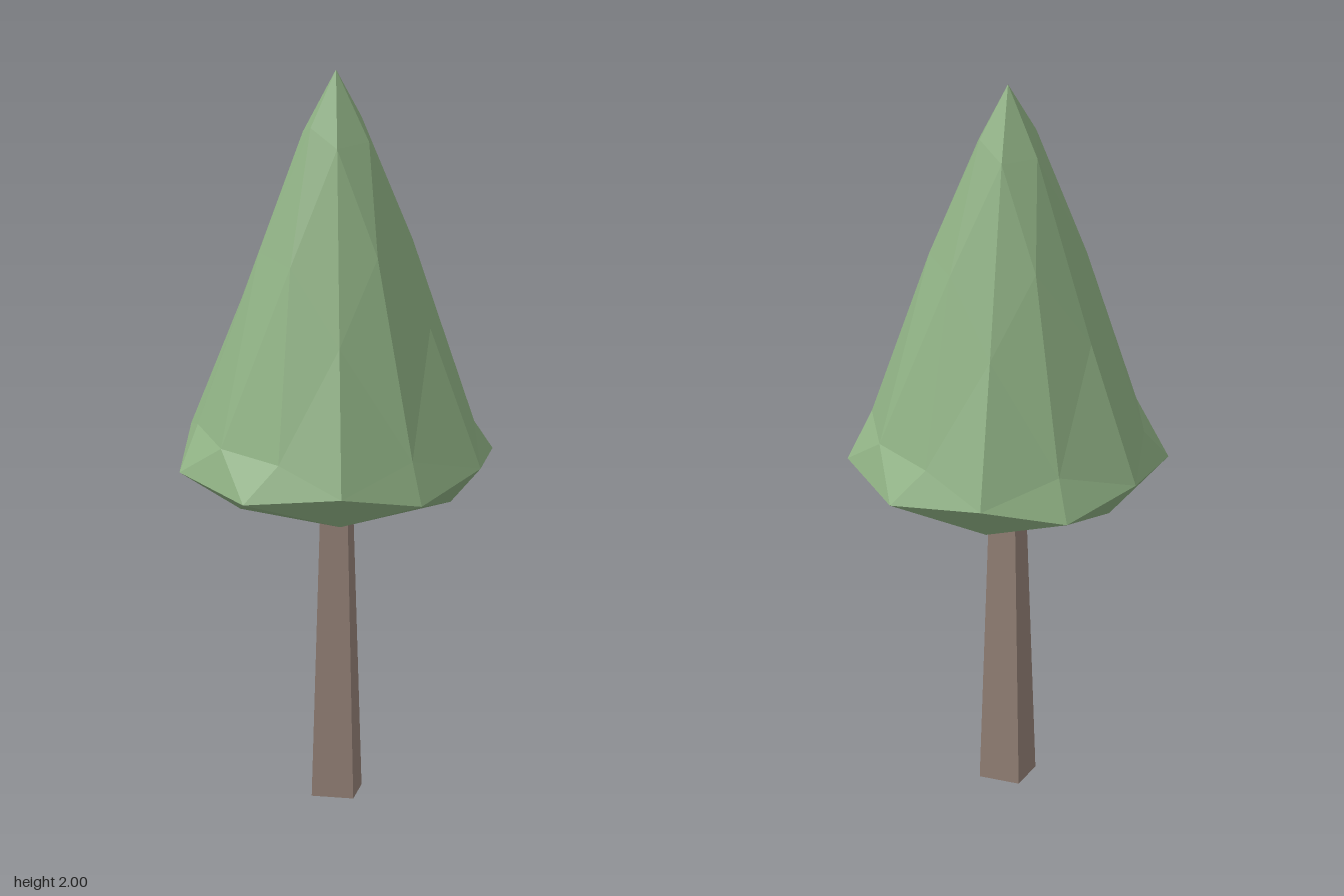
import * as THREE from 'three';

const CENTRE_Z = 0.007;

// Faceted ball tapered into a teardrop: wide flat underside, pointed tip
function crownGeometry() {
  const geo = new THREE.IcosahedronGeometry(1, 1);
  const pos = geo.attributes.position;
  for (let i = 0; i < pos.count; i++) {
    const y = pos.getY(i);
    const spread = 0.36 - 0.245 * y;
    const height = 1.02 + (y > 0 ? 0.98 : 0.21) * y;
    const z = Math.min(pos.getZ(i) * spread + CENTRE_Z, 0.41);
    pos.setXYZ(i, pos.getX(i) * spread, height, z);
  }
  geo.computeVertexNormals();
  return geo;
}

export function createModel() {
  const tree = new THREE.Group();
  tree.name = 'tree';

  const crown = new THREE.Mesh(
    crownGeometry(),
    new THREE.MeshStandardMaterial({ color: 0x8fb184, flatShading: true })
  );
  crown.name = 'crown';

  // Four-sided tapered trunk with a corner facing front, ending inside the crown
  const trunkHeight = 0.95;
  const trunk = new THREE.Mesh(
    new THREE.CylinderGeometry(0.046, 0.078, trunkHeight, 4),
    new THREE.MeshStandardMaterial({ color: 0x958277, flatShading: true })
  );
  trunk.name = 'trunk';
  trunk.position.set(0, trunkHeight / 2, 0.01);

  tree.add(crown, trunk);
  return tree;
}
